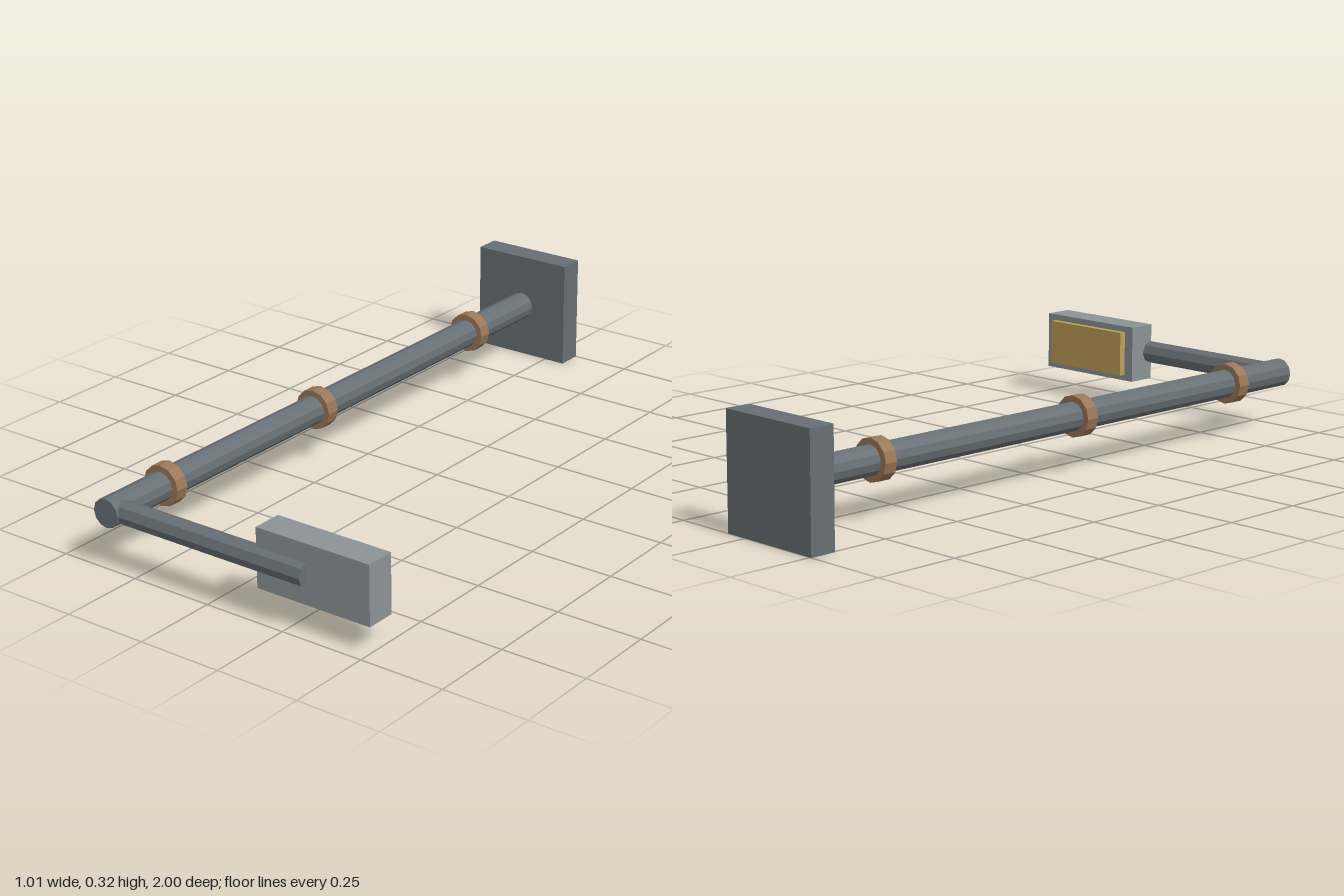
import * as THREE from 'three';

const material = (name, color) => {
  const m = new THREE.MeshStandardMaterial({ color, flatShading: true });
  m.name = name;
  return m;
};

export function createModel() {
  const steel = material('dark steel', 0x666f74);
  const grey = material('light grey', 0x8b9396);
  const copper = material('copper brown', 0x9a7657);
  const amber = material('amber lens', 0xbf9f58);

  const model = new THREE.Group();
  model.name = 'lampPost';

  const add = (name, geometry, mat, x, y, z) => {
    const mesh = new THREE.Mesh(geometry, mat);
    mesh.name = name;
    mesh.position.set(x, y, z);
    model.add(mesh);
    return mesh;
  };
  const axisX = -0.344, axisY = 0.163;

  // Square mounting plate at the back end
  add('basePlate', new THREE.BoxGeometry(0.322, 0.325, 0.077), steel, axisX, axisY, -0.9615);

  // Long pole running along z
  const poleLength = 1.93;
  add('pole', new THREE.CylinderGeometry(0.042, 0.042, poleLength, 12).rotateX(Math.PI / 2),
    steel, axisX, axisY, 1 - poleLength / 2);

  // Collars around the pole
  for (const z of [-0.64, 0.115, 0.765]) {
    add('collar', new THREE.CylinderGeometry(0.06, 0.06, 0.04, 12).rotateX(Math.PI / 2),
      copper, axisX, axisY, z);
  }

  // Side arm reaching to the lamp
  const armStart = -0.344, armEnd = 0.305;
  add('arm', new THREE.CylinderGeometry(0.034, 0.034, armEnd - armStart, 8).rotateZ(Math.PI / 2),
    steel, (armStart + armEnd) / 2, axisY, 0.963);

  // Lamp housing and its lens on the back face
  add('lampHousing', new THREE.BoxGeometry(0.361, 0.172, 0.088), grey, 0.324, 0.164, 0.923);
  add('lens', new THREE.BoxGeometry(0.298, 0.136, 0.024), amber, 0.324, 0.164, 0.87);

  return model;
}
